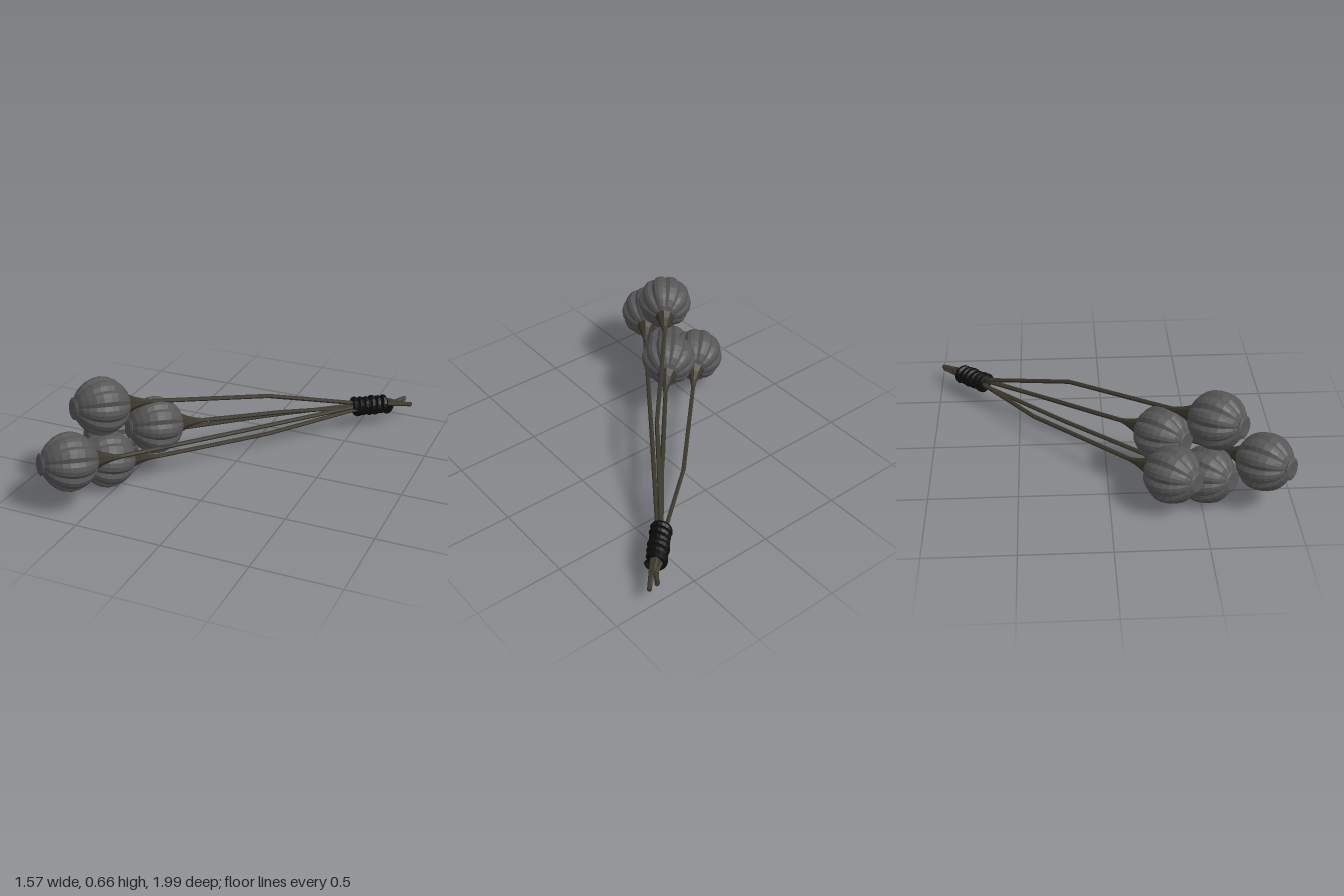
import * as THREE from 'three';

const V = (x, y, z) => new THREE.Vector3(x, y, z);
const UP = V(0, 1, 0);
const material = (color) => new THREE.MeshStandardMaterial({ color, flatShading: true, side: THREE.DoubleSide });
const podMat = material(0x555555);
const stemMat = material(0x3a372c);
const cordMat = material(0x0c0c0c);

// Axis of the tied bundle
const TIE_START = V(0.48, 0.145, -0.70);
const TIE_END = V(0.65, 0.125, -0.87);

function mesh(name, geometry, mat) {
  const m = new THREE.Mesh(geometry, mat);
  m.name = name;
  return m;
}

// Seed pod along +y, centred on its own middle, with scalloped ribs
function podGeometry() {
  const R = 0.163, lobes = 10, pts = [];
  for (let i = 0; i <= 12; i++) {
    const a = (i / 12) * Math.PI;
    pts.push(new THREE.Vector2(R * Math.sin(a), -0.158 * Math.cos(a)));
  }
  const g = new THREE.LatheGeometry(pts, lobes * 4);
  const p = g.attributes.position;
  for (let i = 0; i < p.count; i++) {
    const t = Math.atan2(p.getZ(i), p.getX(i));
    const k = 0.89 + 0.11 * Math.sqrt(Math.abs(Math.cos(t * lobes / 2)));
    p.setX(i, p.getX(i) * k);
    p.setZ(i, p.getZ(i) * k);
  }
  g.computeVertexNormals();
  return g;
}

// Flared disc closing the tip of the pod
function crownGeometry() {
  const profile = [[0.035, 0.135], [0.045, 0.152], [0.062, 0.164], [0.05, 0.171], [0, 0.167]];
  return new THREE.LatheGeometry(profile.map(([r, y]) => new THREE.Vector2(r, y)), 14);
}

// Tapering neck between pod and stem
function neckGeometry() {
  const profile = [[0.012, -0.3], [0.02, -0.25], [0.038, -0.19], [0.062, -0.14], [0.065, -0.12]];
  return new THREE.LatheGeometry(profile.map(([r, y]) => new THREE.Vector2(r, y)), 8);
}

function stemSection(a, b) {
  const d = b.clone().sub(a);
  const m = mesh('stemSection', new THREE.CylinderGeometry(0.0125, 0.0125, d.length() + 0.006, 6), stemMat);
  m.position.copy(a).addScaledVector(d, 0.5);
  m.quaternion.setFromUnitVectors(UP, d.normalize());
  return m;
}

// Each flower: pod centre, neck end, bend of the stem, offset inside the tie, cut end
const FLOWERS = [
  { pod: V(-0.62, 0.28, 0.83), neck: V(-0.44, 0.245, 0.62), bend: V(0.03, 0.195, -0.04), off: V(0.012, 0.008, 0.018), end: V(0.775, 0.1, -0.975) },
  { pod: V(-0.555, 0.51, 0.57), neck: V(-0.37, 0.475, 0.34), bend: V(0.115, 0.365, -0.2), off: V(0, 0.026, 0), end: V(0.77, 0.095, -0.97) },
  { pod: V(-0.37, 0.31, 0.3), neck: V(-0.18, 0.28, 0.09), bend: V(0.15, 0.222, -0.3), off: V(0.012, 0.004, 0.012), end: V(0.73, 0.13, -0.985) },
  { pod: V(-0.62, 0.215, 0.335), neck: V(-0.42, 0.18, 0.12), bend: V(0.09, 0.147, -0.41), off: V(-0.016, 0, -0.016), end: V(0.71, 0.125, -0.93) },
  { pod: V(-0.56, 0.165, 0.53), neck: V(-0.36, 0.115, 0.31), bend: V(0.105, 0.1, -0.235), off: V(0, -0.024, 0), end: V(0.73, 0.115, -0.98) },
];

// Cord wound around the stems
function cordGeometry() {
  const turns = 6, radius = 0.042, pts = [];
  const axis = TIE_END.clone().sub(TIE_START);
  const dir = axis.clone().normalize();
  const u = dir.clone().cross(UP).normalize();
  const v = u.clone().cross(dir);
  for (let i = 0; i <= turns * 12; i++) {
    const a = (i / 12) * Math.PI * 2;
    const r = radius + 0.003 * Math.sin(a * 0.37);
    pts.push(TIE_START.clone().addScaledVector(axis, i / (turns * 12))
      .addScaledVector(u, r * Math.cos(a)).addScaledVector(v, r * Math.sin(a)));
  }
  return new THREE.TubeGeometry(new THREE.CatmullRomCurve3(pts), turns * 18, 0.019, 7);
}

export function createModel() {
  const model = new THREE.Group();
  model.name = 'driedSeedPodBunch';
  const pod = podGeometry(), crown = crownGeometry(), neck = neckGeometry();

  for (const f of FLOWERS) {
    const flower = new THREE.Group();
    flower.name = 'flower';
    const head = new THREE.Group();
    head.name = 'seedHead';
    head.add(mesh('pod', pod, podMat), mesh('crown', crown, podMat), mesh('neck', neck, stemMat));
    head.position.copy(f.pod);
    head.quaternion.setFromUnitVectors(UP, f.pod.clone().sub(f.neck).normalize());
    flower.add(head);

    const path = [f.neck, f.bend, TIE_START.clone().add(f.off), TIE_END.clone().add(f.off), f.end];
    for (let i = 0; i < path.length - 1; i++) flower.add(stemSection(path[i], path[i + 1]));
    model.add(flower);
  }

  model.add(mesh('bindingCord', cordGeometry(), cordMat));
  return model;
}
